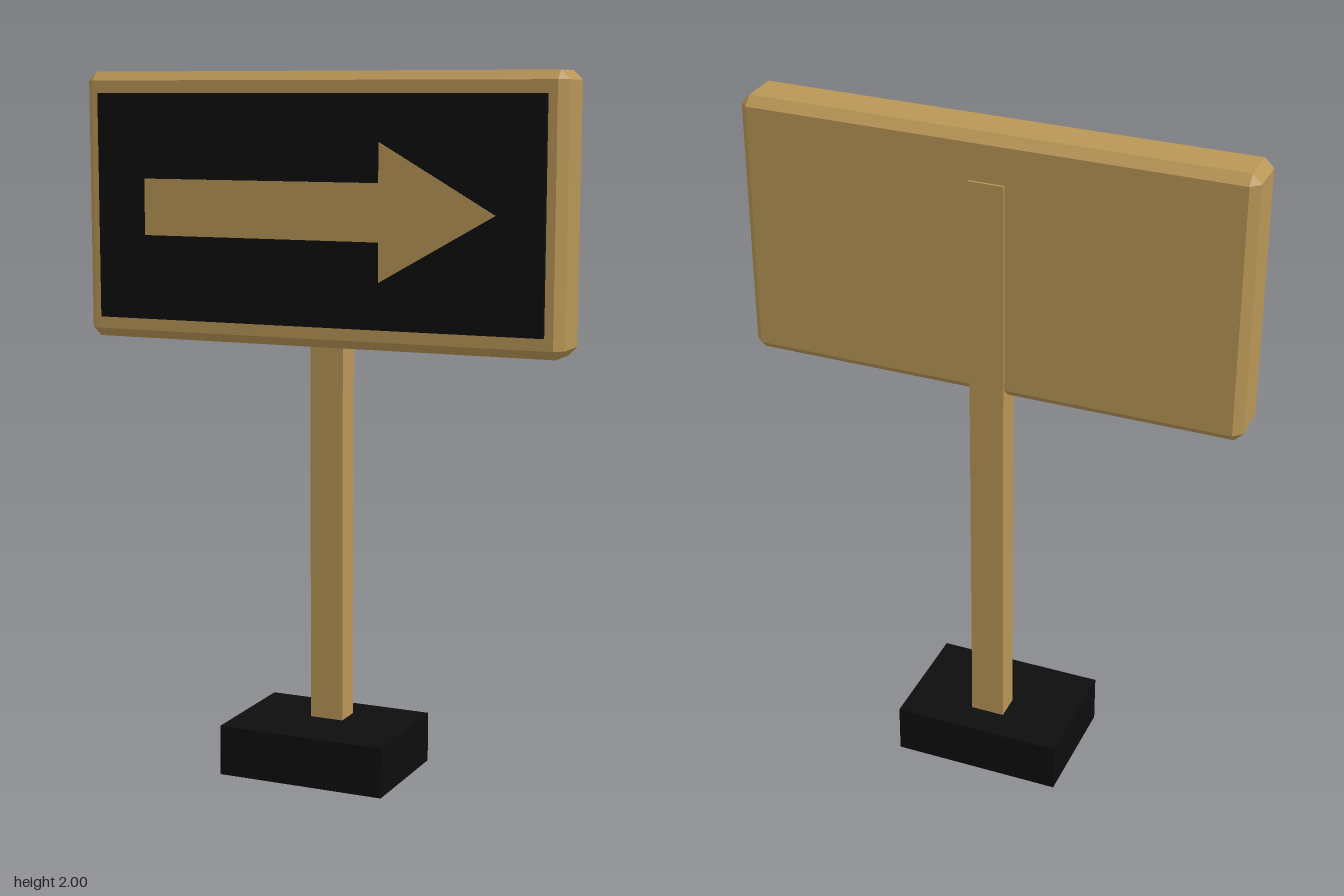
import * as THREE from 'three';
import { ConvexGeometry } from 'three/addons/geometries/ConvexGeometry.js';

const tan = new THREE.MeshStandardMaterial({ color: 0xb89656 });
tan.name = 'tan';
const black = new THREE.MeshStandardMaterial({ color: 0x0d0d0d });
black.name = 'black';

// Box with every edge cut by one flat chamfer
function chamferedBox(w, h, d, c) {
  const points = [];
  for (const sx of [-1, 1]) for (const sy of [-1, 1]) for (const sz of [-1, 1]) {
    const [x, y, z] = [w / 2, h / 2, d / 2];
    points.push(
      new THREE.Vector3(sx * x, sy * (y - c), sz * (z - c)),
      new THREE.Vector3(sx * (x - c), sy * y, sz * (z - c)),
      new THREE.Vector3(sx * (x - c), sy * (y - c), sz * z),
    );
  }
  return new ConvexGeometry(points);
}

export function createModel() {
  const group = new THREE.Group();
  group.name = 'arrowSign';

  function add(name, geometry, material, x, y, z) {
    const mesh = new THREE.Mesh(geometry, material);
    mesh.name = name;
    mesh.position.set(x, y, z);
    group.add(mesh);
  }

  // Base block and the post, which stands slightly proud of the board's back
  add('base', new THREE.BoxGeometry(0.5, 0.145, 0.36), black, 0, 0.0725, 0);
  add('post', new THREE.BoxGeometry(0.1, 1.73, 0.078), tan, 0, 1.005, -0.048);

  // Board with the dark front panel
  add('board', chamferedBox(1.44, 0.76, 0.16, 0.025), tan, 0, 1.62, 0);
  add('panel', new THREE.BoxGeometry(1.34, 0.64, 0.02), black, 0, 1.62, 0.085);

  // Arrow plate pointing to +x
  const arrow = new THREE.Shape([
    [-0.52, -0.08], [0.2, -0.08], [0.2, -0.19], [0.535, 0],
    [0.2, 0.19], [0.2, 0.08], [-0.52, 0.08],
  ].map(([x, y]) => new THREE.Vector2(x, y)));
  add('arrow', new THREE.ExtrudeGeometry(arrow, { depth: 0.003, bevelEnabled: false }),
    tan, 0, 1.62, 0.094);

  return group;
}
